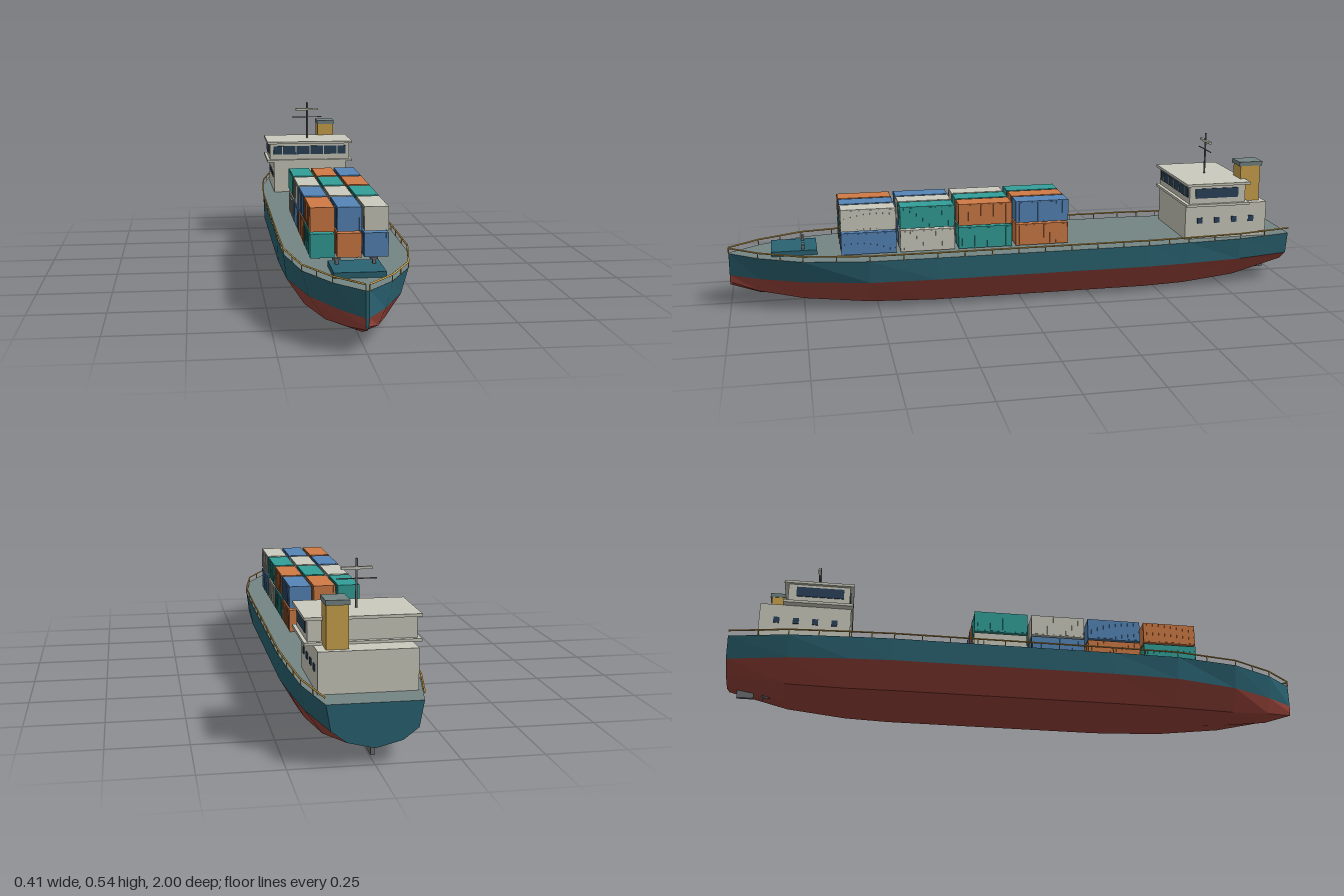
import * as THREE from 'three';
import { mergeGeometries } from 'three/addons/utils/BufferGeometryUtils.js';

const mat = (name, color, side = THREE.FrontSide) => {
  const m = new THREE.MeshStandardMaterial({ color, side });
  m.name = name;
  return m;
};

export function createModel() {
  const M = {
    red: mat('hullRed', 0x9a443a),
    teal: mat('hullTeal', 0x2a6372),
    deck: mat('deckGrey', 0x748584),
    cream: mat('cream', 0xcacabd),
    blue: mat('containerBlue', 0x5585b8),
    orange: mat('containerOrange', 0xcf7b45),
    turquoise: mat('containerTurquoise', 0x329f99),
    yellow: mat('yellow', 0xcda44d),
    glass: mat('windowNavy', 0x2a4359),
    metal: mat('metalGrey', 0x6b6e70),
  };
  const ship = new THREE.Group();
  ship.name = 'cargoShip';

  const add = (name, geo, material, parent = ship) => {
    const mesh = new THREE.Mesh(geo, material);
    mesh.name = name;
    parent.add(mesh);
    return mesh;
  };
  // Box geometry from its minimum and maximum along each axis
  const boxGeo = (x0, x1, y0, y1, z0, z1) =>
    new THREE.BoxGeometry(x1 - x0, y1 - y0, z1 - z0)
      .translate((x0 + x1) / 2, (y0 + y1) / 2, (z0 + z1) / 2);
  const box = (name, material, ...b) => add(name, boxGeo(...b), material);
  // Round bar between two points
  const barGeo = (a, b, r) =>
    new THREE.TubeGeometry(new THREE.LineCurve3(a, b), 1, r, 6, false);
  const V = (x, y, z) => new THREE.Vector3(x, y, z);

  // Hull stations: z, half widths at deck, waterline and bilge, bilge y, keel y
  const DECK = 0.183, WATER = 0.105;
  const stations = [
    [1.0, 0.005, 0.005, 0.004, 0.08, 0.07],
    [0.9, 0.086, 0.068, 0.046, 0.054, 0.036],
    [0.75, 0.16, 0.138, 0.09, 0.033, 0.018],
    [0.53, 0.197, 0.188, 0.132, 0.021, 0.006],
    [0.3, 0.2, 0.197, 0.146, 0.017, 0.002],
    [-0.45, 0.2, 0.197, 0.146, 0.017, 0.002],
    [-0.6, 0.193, 0.188, 0.138, 0.019, 0.004],
    [-0.8, 0.18, 0.168, 0.115, 0.032, 0.014],
    [-1.0, 0.14, 0.126, 0.08, 0.07, 0.05],
  ];
  const rings = stations.map(([z, d, w, b, by, ky]) => [
    [d, DECK, z], [w, WATER, z], [b, by, z], [0, ky, z],
    [-b, by, z], [-w, WATER, z], [-d, DECK, z],
  ]);
  const faceted = (tris) => {
    const g = new THREE.BufferGeometry();
    g.setAttribute('position', new THREE.Float32BufferAttribute(tris.flat(2), 3));
    g.computeVertexNormals();
    return g;
  };
  const strips = (levels) => {
    const tris = [];
    for (let i = 0; i < rings.length - 1; i++) {
      for (const j of levels) {
        const k = (j + 1) % 7, p = rings[i], q = rings[i + 1];
        tris.push([p[j], p[k], q[k]], [p[j], q[k], q[j]]);
      }
    }
    return tris;
  };
  const stem = [], transom = [];
  for (let k = 1; k < 6; k++) {
    const f = rings[0], b = rings[rings.length - 1];
    stem.push([f[0], f[k + 1], f[k]]);
    transom.push([b[0], b[k], b[k + 1]]);
  }
  add('lowerHull', faceted(strips([1, 2, 3, 4])), M.red);
  add('upperHull', faceted([...strips([0, 5]), ...stem, ...transom]), M.teal);
  add('deck', faceted(strips([6])), M.deck);

  // Railings along both sides, with posts
  for (const side of [1, -1]) {
    const parts = [];
    for (let i = 0; i < stations.length - 1; i++) {
      const [z0, d0] = stations[i], [z1, d1] = stations[i + 1];
      const a = V(side * d0, 0.202, z0), b = V(side * d1, 0.202, z1);
      parts.push(barGeo(a, b, 0.003));
      const n = Math.max(1, Math.round(a.distanceTo(b) / 0.1));
      for (let k = 0; k < n; k++) {
        const p = a.clone().lerp(b, k / n);
        parts.push(barGeo(V(p.x, DECK - 0.001, p.z), p, 0.0018));
      }
    }
    add(side > 0 ? 'leftRailing' : 'rightRailing', mergeGeometries(parts), M.yellow);
  }

  // Container: body, corrugated sides, end frames and door bars
  const ribs = [boxGeo(-0.037, 0.037, -0.038, 0.038, -0.0925, 0.0925)];
  for (const s of [1, -1]) {
    for (let i = 0; i < 8; i++) {
      const z = -0.077 + i * 0.022;
      ribs.push(boxGeo(s * 0.0375 - 0.0015, s * 0.0375 + 0.0015, -0.034, 0.034, z - 0.005, z + 0.005));
    }
    for (const x of [-0.034, 0.034]) {
      ribs.push(boxGeo(x - 0.004, x + 0.004, -0.038, 0.038, s * 0.0925 - 0.0015, s * 0.0925 + 0.0015));
    }
  }
  const containerGeo = mergeGeometries(ribs);
  const cargo = new THREE.Group();
  cargo.name = 'containers';
  ship.add(cargo);
  const paints = [M.orange, M.blue, M.cream, M.turquoise];
  for (let tier = 0; tier < 2; tier++) {
    for (let row = 0; row < 4; row++) {
      for (let col = 0; col < 3; col++) {
        const paint = paints[(col + row + (tier ? 0 : 3)) % 4];
        add('container', containerGeo, paint, cargo)
          .position.set((col - 1) * 0.084, 0.226 + tier * 0.082, 0.526 - row * 0.202);
      }
    }
  }

  // Bow hatch and mooring bitts
  box('bowHatch', M.teal, -0.077, 0.077, DECK - 0.002, 0.2, 0.7, 0.855);
  for (const x of [-0.056, 0.056]) {
    box('bittPost', M.metal, x - 0.005, x + 0.005, 0.199, 0.216, 0.742, 0.752);
    box('bittBar', M.metal, x - 0.012, x + 0.012, 0.213, 0.219, 0.742, 0.752);
  }

  // Deckhouse and bridge
  box('deckhouse', M.cream, -0.147, 0.147, DECK - 0.002, 0.308, -0.905, -0.6);
  box('bridgeFloor', M.cream, -0.174, 0.174, 0.307, 0.316, -0.83, -0.594);
  box('bridge', M.cream, -0.163, 0.163, 0.316, 0.382, -0.815, -0.607);
  box('bridgeRoof', M.cream, -0.174, 0.174, 0.381, 0.39, -0.83, -0.594);
  box('frontWindows', M.glass, -0.148, 0.148, 0.337, 0.371, -0.608, -0.604);
  for (let i = -2; i <= 2; i++) {
    box('windowMullion', M.cream, i * 0.056 - 0.002, i * 0.056 + 0.002, 0.337, 0.371, -0.606, -0.602);
  }
  for (const s of [1, -1]) {
    box('sideWindow', M.glass, s * 0.164 - 0.002, s * 0.164 + 0.002, 0.336, 0.371, -0.788, -0.628);
    for (let i = 0; i < 4; i++) {
      const z = -0.654 - i * 0.0645;
      box('cabinWindow', M.glass, s * 0.148 - 0.002, s * 0.148 + 0.002, 0.239, 0.26, z - 0.01, z + 0.01);
    }
  }

  // Funnel
  box('funnel', M.yellow, 0.054, 0.12, 0.306, 0.438, -0.886, -0.812);
  box('funnelCap', M.deck, 0.052, 0.123, 0.437, 0.452, -0.892, -0.806);

  // Mast, yard and radar
  add('mast', new THREE.CylinderGeometry(0.0035, 0.0035, 0.15, 8), M.metal).position.set(0, 0.464, -0.72);
  add('yard', barGeo(V(-0.062, 0.478, -0.72), V(0.062, 0.478, -0.72), 0.002), M.metal);
  box('radar', M.cream, -0.047, 0.047, 0.506, 0.514, -0.726, -0.716);

  // Rudder and propeller
  box('rudder', M.metal, -0.006, 0.006, 0.018, 0.07, -0.966, -0.91);
  add('propellerHub', new THREE.CylinderGeometry(0.004, 0.004, 0.03, 8).rotateX(Math.PI / 2), M.metal)
    .position.set(0, 0.026, -0.87);
  for (let i = 0; i < 2; i++) {
    const blade = add('propellerBlade', new THREE.BoxGeometry(0.006, 0.026, 0.003), M.metal);
    blade.position.set(0, 0.026, -0.878);
    blade.rotation.z = i * Math.PI / 2;
  }
  return ship;
}
